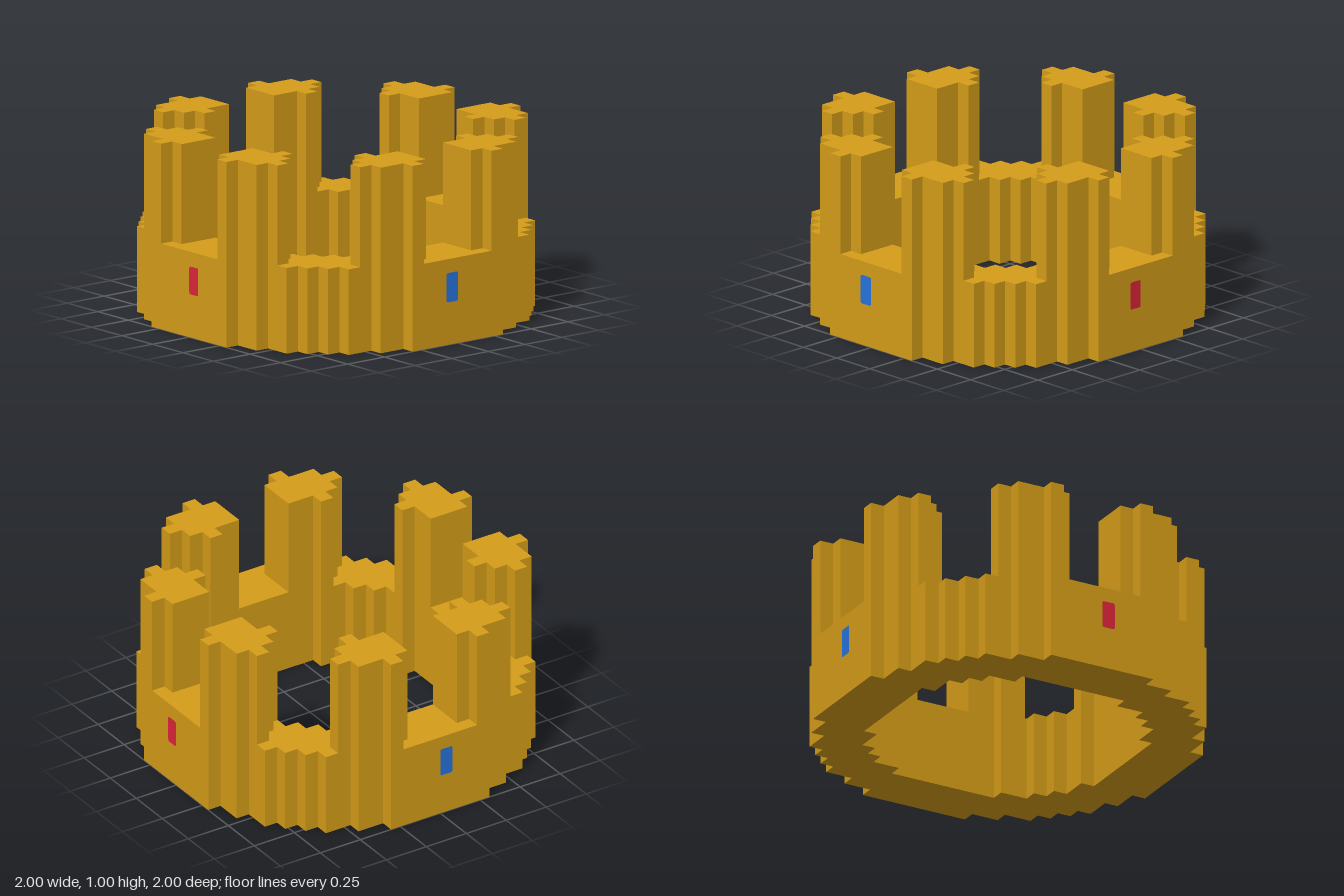
import * as THREE from 'three';

const U = 1 / 13; // edge of one block
const BAND_TOP = 6;
const CROWN_TOP = 13;

const gold = new THREE.MeshStandardMaterial({ color: 0xd49c18 });
gold.name = 'gold';
const red = new THREE.MeshStandardMaterial({ color: 0xdb2539 });
red.name = 'ruby red';
const blue = new THREE.MeshStandardMaterial({ color: 0x2873dc });
blue.name = 'sapphire blue';

// One stepped quarter of each ring outline, in blocks
const OUTER = [[4, 13], [4, 12], [6, 12], [6, 11], [8, 11], [8, 10], [9, 10], [9, 9],
  [10, 9], [10, 8], [11, 8], [11, 6], [12, 6], [12, 4], [13, 4]];
const INNER = [[4, 9], [4, 8], [6, 8], [6, 7], [7, 7], [7, 6], [8, 6], [8, 4], [9, 4]];
// Footprint of one upright point of the crown
const POINT = [[3, 13], [4, 13], [4, 12], [6, 12], [6, 11], [7, 11], [7, 10], [6, 10],
  [6, 9], [5, 9], [5, 8], [4, 8], [4, 9], [2, 9], [2, 12], [3, 12]];

const vectors = (pts) => pts.map(([x, y]) => new THREE.Vector2(x * U, y * U));

// Repeat a quarter outline four times, running clockwise around the centre
function ring(quarter) {
  const all = [];
  let q = quarter;
  for (let i = 0; i < 4; i++) {
    all.push(...q);
    q = q.map(([x, y]) => [y, -x]);
  }
  return vectors(all);
}

// Raise a plan shape from one height to another
function raise(shape, from, to) {
  const g = new THREE.ExtrudeGeometry(shape, { depth: (to - from) * U, bevelEnabled: false });
  return g.rotateX(-Math.PI / 2).translate(0, from * U, 0);
}

function addMesh(parent, name, geometry, material) {
  const mesh = new THREE.Mesh(geometry, material);
  mesh.name = name;
  parent.add(mesh);
  return mesh;
}

// Flat plate with rounded corners
function jewelGeometry(w, h) {
  const r = 0.012, x = w / 2, y = h / 2;
  const s = new THREE.Shape();
  s.moveTo(-x + r, -y);
  s.lineTo(x - r, -y);
  s.quadraticCurveTo(x, -y, x, -y + r);
  s.lineTo(x, y - r);
  s.quadraticCurveTo(x, y, x - r, y);
  s.lineTo(-x + r, y);
  s.quadraticCurveTo(-x, y, -x, y - r);
  s.lineTo(-x, -y + r);
  s.quadraticCurveTo(-x, -y, -x + r, -y);
  return new THREE.ShapeGeometry(s, 3);
}

export function createModel() {
  const crown = new THREE.Group();
  crown.name = 'crown';

  // Stepped band: outline counter-clockwise, opening clockwise
  const bandShape = new THREE.Shape(ring(OUTER).reverse());
  bandShape.holes.push(new THREE.Path(ring(INNER)));
  addMesh(crown, 'band', raise(bandShape, 0, BAND_TOP), gold);

  // Eight points: a mirrored pair in each quarter
  const points = new THREE.Group();
  points.name = 'points';
  crown.add(points);
  const mirrored = POINT.map(([x, y]) => [y, x]);
  [POINT, mirrored].forEach((plan, side) => {
    const geometry = raise(new THREE.Shape(vectors(plan)), BAND_TOP, CROWN_TOP);
    for (let i = 0; i < 4; i++) {
      addMesh(points, `point${side * 4 + i + 1}`, geometry, gold).rotation.y = i * Math.PI / 2;
    }
  });

  // Jewels: red on front and back, blue on both sides
  const ruby = jewelGeometry(0.074, 0.15);
  const sapphire = jewelGeometry(0.078, 0.158);
  const c = U / 2, y = 4 * U, face = 1.001;
  const jewels = [
    ['frontJewel', ruby, red, c, face, 0],
    ['backJewel', ruby, red, c, -face, Math.PI],
    ['leftJewel', sapphire, blue, face, c, Math.PI / 2],
    ['rightJewel', sapphire, blue, -face, c, -Math.PI / 2],
  ];
  for (const [name, geometry, material, x, z, turn] of jewels) {
    const jewel = addMesh(crown, name, geometry, material);
    jewel.position.set(x, y, z);
    jewel.rotation.y = turn;
  }
  return crown;
}
